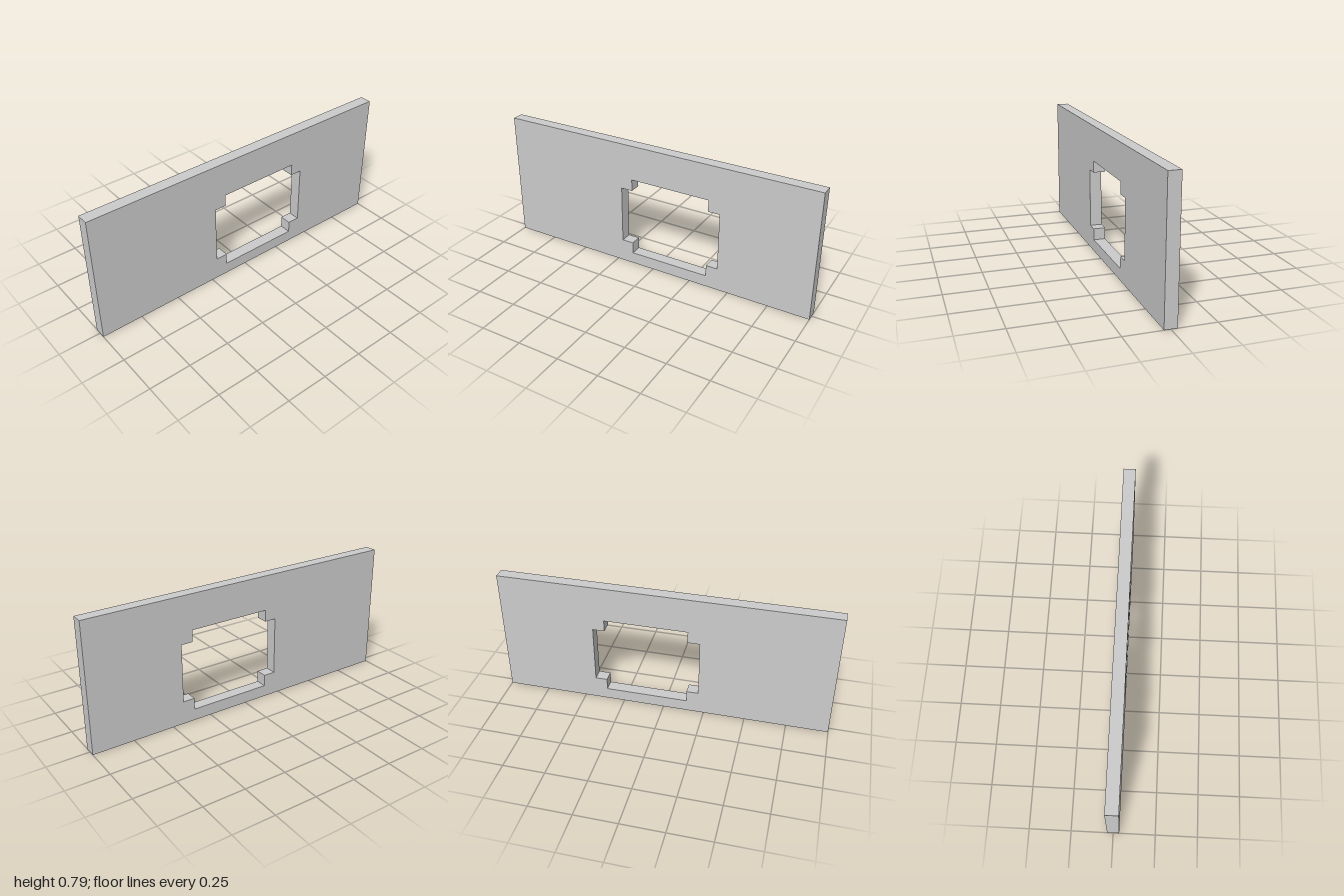
import * as THREE from 'three';

// One module: the wall is 28 wide, 11 high and 1 thick
const U = 1 / 14;

function addRing(path, points) {
  points.forEach(([x, y], i) => (i ? path.lineTo(x * U, y * U) : path.moveTo(x * U, y * U)));
  path.closePath();
  return path;
}

export function createModel() {
  const group = new THREE.Group();
  group.name = 'wallPanel';

  // Rectangular wall outline
  const outline = addRing(new THREE.Shape(), [[-14, 0], [14, 0], [14, 11], [-14, 11]]);

  // Off-centre window opening with stepped corners
  outline.holes.push(addRing(new THREE.Path(), [
    [-2, 1], [-2, 2], [-3, 2], [-3, 7], [-2, 7], [-2, 8],
    [5, 8], [5, 7], [6, 7], [6, 2], [5, 2], [5, 1],
  ]));

  const geometry = new THREE.ExtrudeGeometry(outline, { depth: U, bevelEnabled: false });
  geometry.translate(0, 0, -U / 2);

  const wall = new THREE.Mesh(
    geometry,
    new THREE.MeshStandardMaterial({ color: 0xcccccc, flatShading: true })
  );
  wall.name = 'wallWithWindowOpening';
  group.add(wall);
  return group;
}
